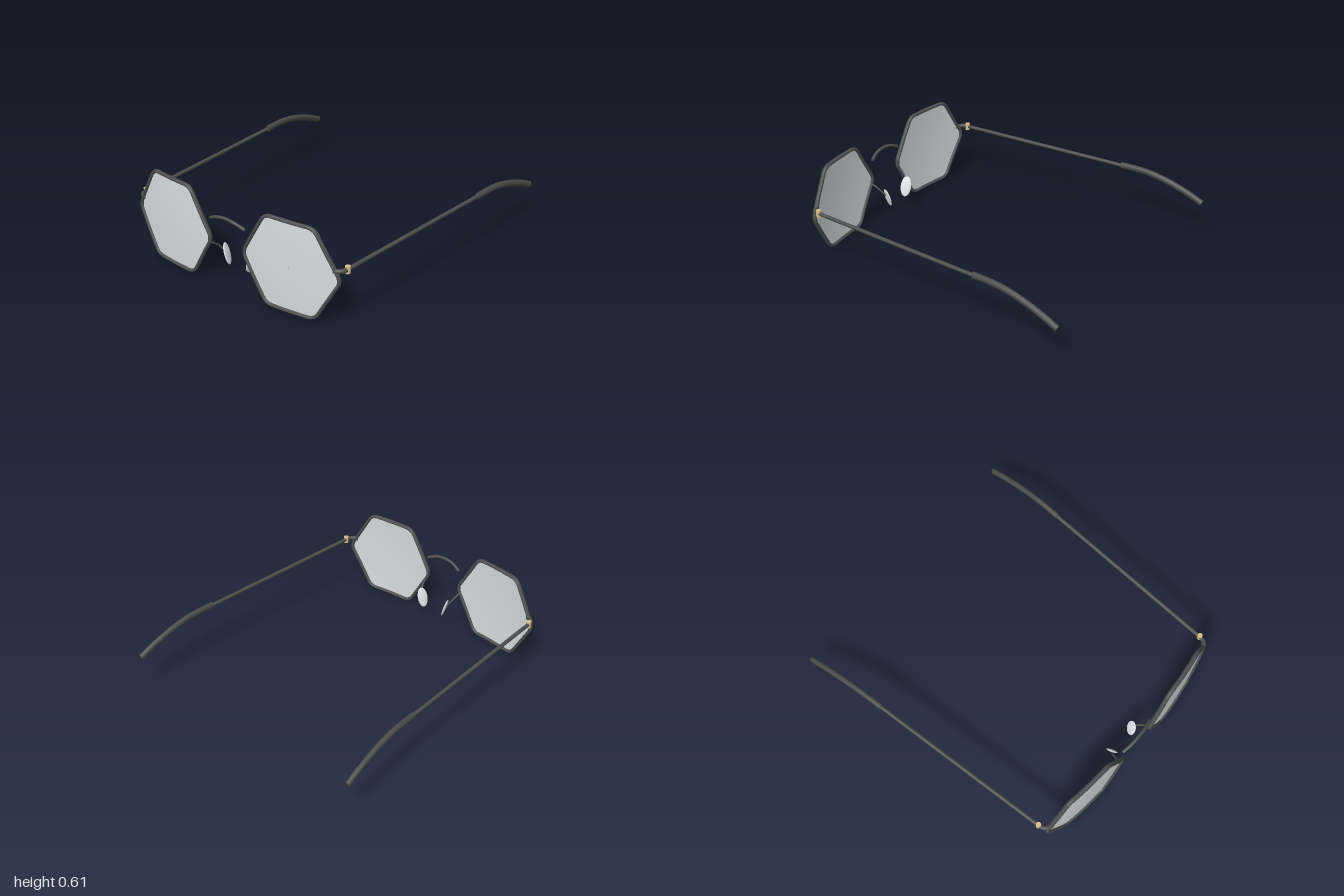
import * as THREE from 'three';
import { mergeGeometries } from 'three/addons/utils/BufferGeometryUtils.js';

const V = (x, y, z) => new THREE.Vector3(x, y, z);
const CX = 0.465, CY = 0.305;   // lens centre

// Wrapped surface shared by lens and rim (u outward, v up from the lens centre)
const wrapZ = (u, v) => 0.969 - 0.105 * u - 0.22 * u * u - 0.08 * v * v;

// Hexagon outline with rounded corners
function hexOutline(count) {
  const R = 0.338, cut = 0.046 / R;
  const corner = (i) => new THREE.Vector2(R * Math.cos(i * Math.PI / 3), R * Math.sin(i * Math.PI / 3));
  const path = new THREE.Path();
  for (let i = 0; i < 6; i++) {
    const c = corner(i);
    const a = c.clone().lerp(corner(i + 5), cut), b = c.clone().lerp(corner(i + 1), cut);
    if (i === 0) path.moveTo(a.x, a.y); else path.lineTo(a.x, a.y);
    path.quadraticCurveTo(c.x, c.y, b.x, b.y);
  }
  path.closePath();
  return path.getSpacedPoints(count);
}

// Round bar along a smooth curve, with flat end caps
function rod(points, radius, segments = 24) {
  const curve = new THREE.CatmullRomCurve3(points);
  const parts = [new THREE.TubeGeometry(curve, segments, radius, 14)];
  for (const t of [0, 1]) {
    const dir = curve.getTangent(t).multiplyScalar(t ? 1 : -1);
    const cap = new THREE.CircleGeometry(radius, 14);
    cap.applyQuaternion(new THREE.Quaternion().setFromUnitVectors(V(0, 0, 1), dir));
    const p = curve.getPoint(t);
    parts.push(cap.translate(p.x, p.y, p.z));
  }
  return mergeGeometries(parts);
}

export function createModel() {
  const mat = (name, color, side = THREE.FrontSide) => {
    const m = new THREE.MeshStandardMaterial({ color, side });
    m.name = name;
    return m;
  };
  const metal = mat('dark metal', 0x4e4e4e);
  const sleeve = mat('dark sleeve', 0x4a4a4a);
  const brass = mat('brass', 0xd6bc88);
  const glass = mat('grey lens', 0xd6dcde, THREE.DoubleSide);
  const padMat = mat('pale pad', 0xe6eaec);

  const model = new THREE.Group();
  model.name = 'glasses';
  const add = (name, geometry, material, parent) => {
    const mesh = new THREE.Mesh(geometry, material);
    mesh.name = name;
    parent.add(mesh);
    return mesh;
  };

  // Arched bridge
  add('bridge', rod([V(-0.135, 0.44, 0.97), V(-0.07, 0.467, 0.983), V(0, 0.477, 0.986),
    V(0.07, 0.467, 0.983), V(0.135, 0.44, 0.97)], 0.0105), metal, model);

  const N = 120, RINGS = 8;
  const outline = hexOutline(N);

  for (const [label, s] of [['left', 1], ['right', -1]]) {
    const side = new THREE.Group();
    side.name = label + 'Side';
    model.add(side);
    const P = (x, y, z) => V(s * x, y, z);

    // Rim following the wrapped hexagon, deeper than it is wide
    const rimPoints = outline.slice(0, N).map((p) => P(CX + p.x, CY + p.y, wrapZ(p.x, p.y)));
    const rim = new THREE.TubeGeometry(new THREE.CatmullRomCurve3(rimPoints, true), 180, 0.011, 12, true);
    const rp = rim.attributes.position;
    for (let i = 0; i < rp.count; i++) {
      const z = wrapZ(s * rp.getX(i) - CX, rp.getY(i) - CY);
      rp.setZ(i, z + (rp.getZ(i) - z) * 1.4);
    }
    add(label + 'Rim', rim, metal, side);

    // Lens: a disc of rings stretched to the hexagon and bent
    const lens = new THREE.RingGeometry(0.001, 1, N, RINGS);
    const pos = lens.attributes.position;
    for (let j = 0; j <= RINGS; j++) {
      for (let i = 0; i <= N; i++) {
        const t = Math.max(j / RINGS, 0.001);
        // run the outline backwards on the right so the front stays outward
        const q = s > 0 ? outline[i % N] : outline[(N - i) % N];
        pos.setXYZ(j * (N + 1) + i, s * (CX + q.x * t), CY + q.y * t, wrapZ(q.x * t, q.y * t));
      }
    }
    lens.computeVertexNormals();
    add(label + 'Lens', lens, glass, side);

    // End piece wrapping back to the hinge
    add(label + 'EndPiece', rod([P(0.755, 0.366, 0.922), P(0.785, 0.366, 0.908),
      P(0.802, 0.366, 0.89), P(0.808, 0.366, 0.862)], 0.0145), metal, side);

    // Hinge barrel
    const hinge = new THREE.CylinderGeometry(0.0165, 0.0165, 0.046, 16);
    add(label + 'Hinge', hinge, brass, side).position.set(s * 0.81, 0.367, 0.857);

    // Straight temple
    const templeX = (z) => 0.81 + (0.85 - z) * 0.0525;
    add(label + 'Temple', rod([P(templeX(0.85), 0.367, 0.85), P(templeX(0.2), 0.367, 0.2),
      P(templeX(-0.45), 0.367, -0.45)], 0.0125, 4), metal, side);

    // Curved ear sleeve, narrowed sideways into an oval section
    const tip = rod([[0.368, -0.39], [0.368, -0.5], [0.361, -0.6], [0.342, -0.7],
      [0.313, -0.8], [0.276, -0.9], [0.236, -0.987]].map(([y, z]) => P(templeX(z), y, z)), 0.023, 32);
    const tp = tip.attributes.position;
    for (let i = 0; i < tp.count; i++) {
      const c = s * templeX(tp.getZ(i));
      tp.setX(i, c + (tp.getX(i) - c) * 0.75);
    }
    add(label + 'EarSleeve', tip, sleeve, side);

    // Nose pad and its wire arm
    add(label + 'PadArm', rod([P(0.15, 0.265, 0.968), P(0.142, 0.245, 0.935),
      P(0.128, 0.215, 0.905), P(0.106, 0.18, 0.884)], 0.006, 16), metal, side);
    const pad = add(label + 'NosePad', new THREE.SphereGeometry(1, 28, 18).scale(0.009, 0.072, 0.038), padMat, side);
    pad.position.set(s * 0.1, 0.168, 0.88);
    pad.rotation.set(0, -s * 0.33, -s * 0.3, 'ZYX');
  }
  return model;
}
